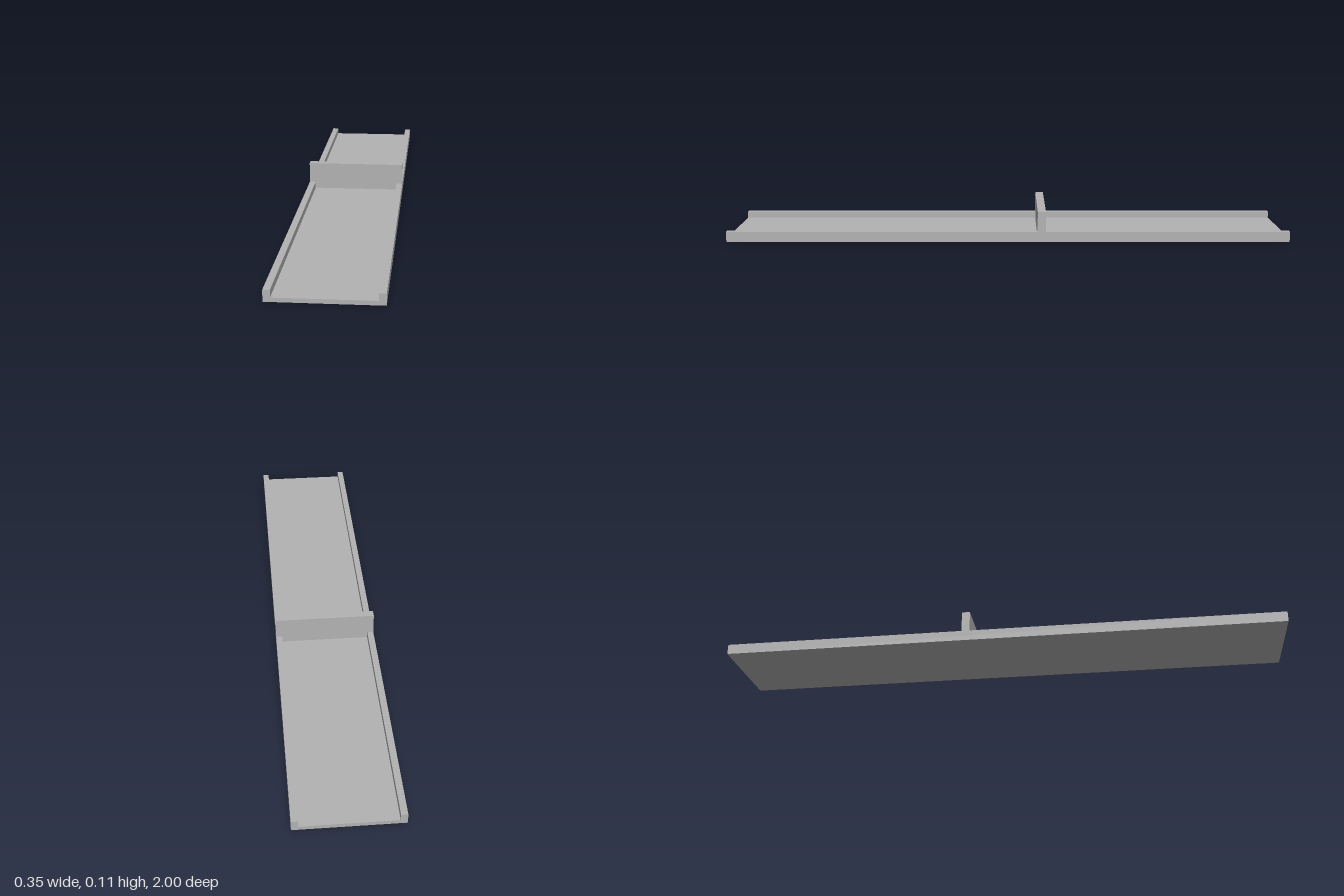
import * as THREE from 'three';

const HALF_WIDTH = 0.176, INNER = 0.154, FLOOR = 0.0135, RIM = 0.0366, TOP = 0.11;
const WALL_BACK = -0.134, WALL_FRONT = -0.105;

// Extrude an x-y outline from z0 to z1
function profile(name, points, z0, z1, material) {
  const shape = new THREE.Shape(points.map(([x, y]) => new THREE.Vector2(x, y)));
  const geometry = new THREE.ExtrudeGeometry(shape, { depth: z1 - z0, bevelEnabled: false });
  geometry.translate(0, 0, z0);
  const mesh = new THREE.Mesh(geometry, material);
  mesh.name = name;
  return mesh;
}

export function createModel() {
  const group = new THREE.Group();
  group.name = 'channelWithDivider';
  const grey = new THREE.MeshStandardMaterial({ color: 0xb2b2b2 });
  grey.name = 'grey';

  // Long shallow tray with a raised rim along each side
  group.add(profile('tray', [
    [-HALF_WIDTH, 0], [HALF_WIDTH, 0], [HALF_WIDTH, RIM], [INNER, RIM],
    [INNER, FLOOR], [-INNER, FLOOR], [-INNER, RIM], [-HALF_WIDTH, RIM],
  ], -1, 1, grey));

  // Upright divider that fills the channel and rests on both rims
  group.add(profile('divider', [
    [-INNER, FLOOR], [INNER, FLOOR], [INNER, RIM], [HALF_WIDTH, RIM],
    [HALF_WIDTH, TOP], [-HALF_WIDTH, TOP], [-HALF_WIDTH, RIM], [-INNER, RIM],
  ], WALL_BACK, WALL_FRONT, grey));

  return group;
}
